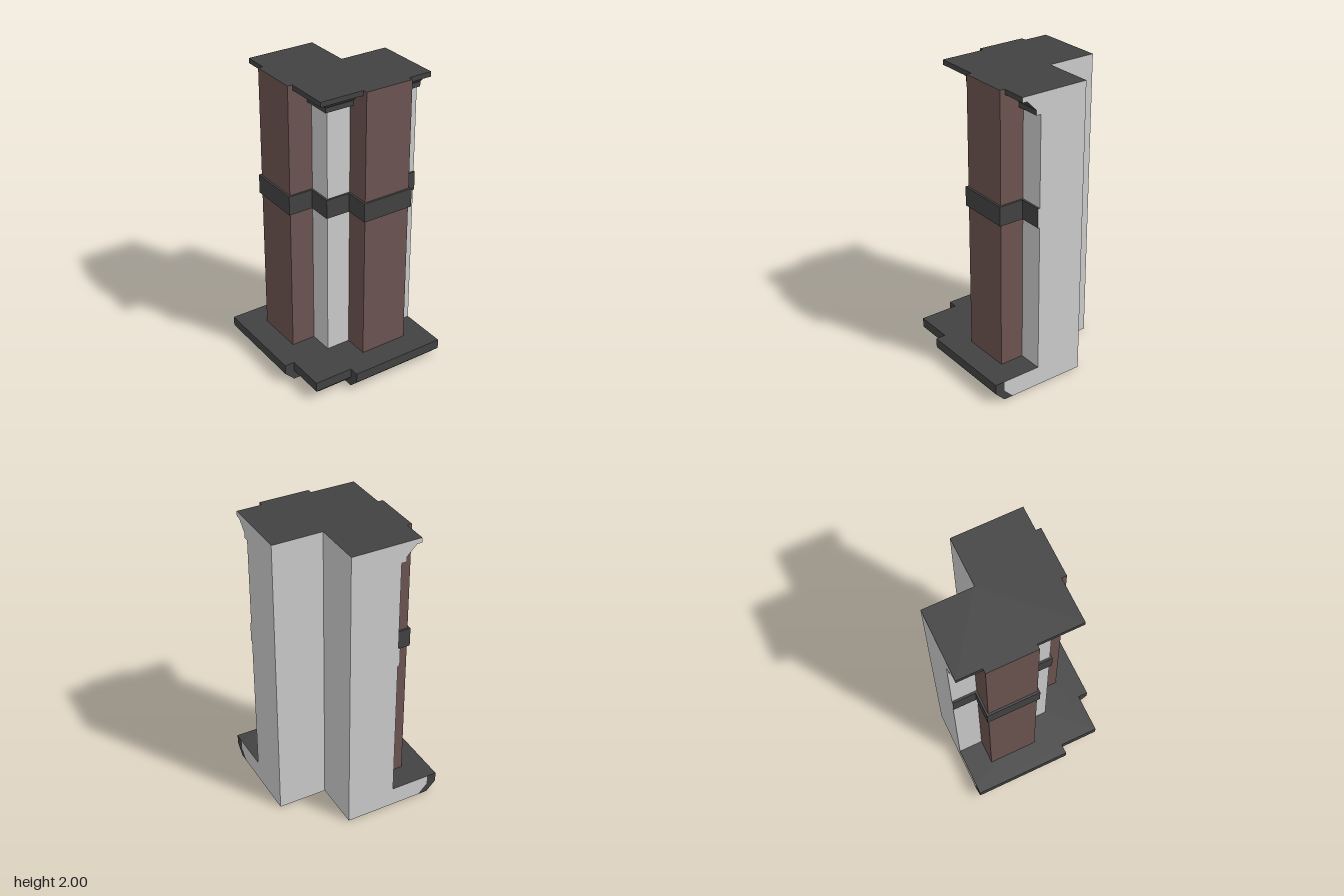
import * as THREE from 'three';

const T = 1 / 6; // half thickness of the wall
const grey = new THREE.MeshStandardMaterial({ color: 0xcccccc, flatShading: true });
const dark = new THREE.MeshStandardMaterial({ color: 0x424242, flatShading: true });
const brown = new THREE.MeshStandardMaterial({ color: 0x6c5451, flatShading: true });

// Wall section: [outward offset, height, part of the span that follows]
const section = [
  [-T, 0, 'wall'], [0.367, 0, 'base'], [0.433, 0.067, 'base'], [0.433, 0.133, 'base'],
  [T, 0.133, 'wall'], [T, 1.137, 'band'], [0.18, 1.137, 'band'], [0.18, 1.267, 'band'],
  [T, 1.267, 'wall'], [T, 1.867, 'cornice'], [0.2, 1.867, 'cornice'], [0.2, 1.9, 'cornice'],
  [0.267, 1.967, 'cornice'], [0.3, 1.967, 'cornice'], [0.3, 2, 'cornice'], [-T, 2, 'wall'],
];

// Sweeps the spans of one part along the L-shaped wall, mitred at the corner
function sweep(part) {
  const pos = [];
  const path = ([d, y]) => [[0.5, y, d], [-d, y, d], [-d, y, -0.5]];
  section.forEach((p, i) => {
    if (p[2] !== part) return;
    const a = path(p), b = path(section[(i + 1) % section.length]);
    for (let k = 0; k < 2; k++) {
      pos.push(...a[k + 1], ...a[k], ...b[k], ...a[k + 1], ...b[k], ...b[k + 1]);
    }
  });
  const geo = new THREE.BufferGeometry();
  geo.setAttribute('position', new THREE.Float32BufferAttribute(pos, 3));
  geo.computeVertexNormals();
  return geo;
}

const shapeOf = (points, sign) =>
  new THREE.Shape(points.map(([d, y]) => new THREE.Vector2(sign * d, y)));

function add(parent, name, geometry, material) {
  const mesh = new THREE.Mesh(geometry, material);
  mesh.name = name;
  parent.add(mesh);
  return mesh;
}

// Pillar, its clasp and the foot trim of one wall arm
function createArm(name) {
  const arm = new THREE.Group();
  arm.name = name;
  const pillar = new THREE.BoxGeometry(2 * T, 2 - 0.133, T);
  add(arm, 'pillar', pillar, [brown, brown, dark, brown, brown, brown])
    .position.set(0, 1.0665, 1.5 * T);
  add(arm, 'pillarBand', new THREE.BoxGeometry(0.36, 0.13, 0.18), dark)
    .position.set(0, 1.202, 0.257);

  const trim = shapeOf([[0.367, 0], [0.433, 0], [0.5, 0.067], [0.5, 0.133], [0.433, 0.133], [0.433, 0.067]], -1);
  const trimGeo = new THREE.ExtrudeGeometry(trim, { depth: 4 * T, bevelEnabled: false });
  trimGeo.translate(0, 0, -2 * T).rotateY(Math.PI / 2);
  add(arm, 'footTrim', trimGeo, dark);
  return arm;
}

export function createModel() {
  const model = new THREE.Group();
  model.name = 'cornerWall';

  add(model, 'wall', sweep('wall'), grey);
  for (const part of ['base', 'band', 'cornice']) add(model, part, sweep(part), dark);

  // Cut ends of the two arms
  add(model, 'leftEnd', new THREE.ShapeGeometry(shapeOf(section, -1)).rotateY(Math.PI / 2), grey)
    .position.x = 0.5;
  add(model, 'backEnd', new THREE.ShapeGeometry(shapeOf(section, 1)).rotateY(Math.PI), grey)
    .position.z = -0.5;

  const front = createArm('frontArm');
  front.position.x = T;
  const side = createArm('sideArm');
  side.rotation.y = -Math.PI / 2;
  side.position.z = -T;
  model.add(front, side);
  return model;
}
